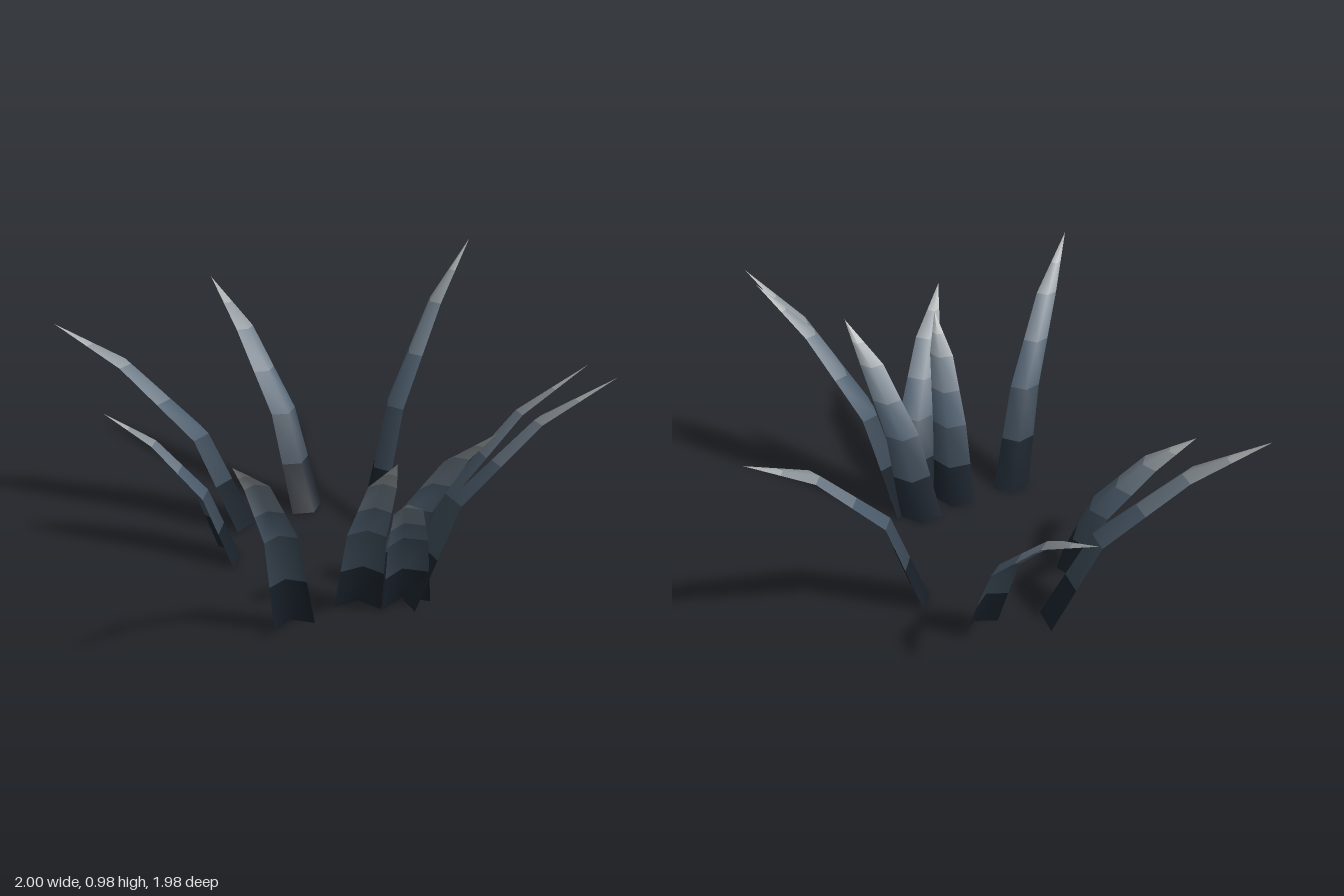
import * as THREE from 'three';

// Each blade: the two outer corners of its foot [x, z] and its tip [x, y, z]
const BLADES = [
  { name: 'backBlade', a: [-0.07, -0.32], b: [0.06, -0.25], tip: [0, 0.98, -0.99] },
  { name: 'backRightBlade', a: [-0.27, -0.33], b: [-0.31, -0.19], tip: [-0.88, 0.81, -0.44] },
  { name: 'rightLongBlade', a: [-0.49, -0.11], b: [-0.40, 0.05], tip: [-1, 0.82, 0.33] },
  { name: 'rightShortBlade', a: [-0.40, 0.17], b: [-0.25, 0.27], tip: [-0.65, 0.60, 0.47] },
  { name: 'frontBlade', a: [0.11, 0.51], b: [0.20, 0.40], tip: [0.335, 0.88, 0.99] },
  { name: 'frontLeftShortBlade', a: [0.20, 0.28], b: [0.345, 0.20], tip: [0.52, 0.70, 0.41] },
  { name: 'frontLeftLongBlade', a: [0.35, 0.20], b: [0.46, 0.06], tip: [0.67, 0.69, 0.60] },
  { name: 'leftInnerBlade', a: [0.245, 0.13], b: [0.36, 0.02], tip: [0.70, 0.73, 0.10] },
  { name: 'leftOuterBlade', a: [0.45, 0.15], b: [0.38, 0.02], tip: [1, 0.92, -0.11] },
  { name: 'leftBackBlade', a: [0.42, 0.13], b: [0.36, 0], tip: [0.88, 0.92, -0.16] },
];

// Shared bend: [share of the outward reach, share of the height, share of the width]
const BEND = [[0, 0, 1], [0.235, 0.465, 0.8], [0.635, 0.81, 0.55], [1, 1, 0]];
const STEPS = 2; // colour bands per straight section
const FOLD = 0.3; // depth of the V fold relative to the width

// Dark foot, slate middle, pale tip
function bandMaterials() {
  const [foot, middle, pale] = [0x1a222b, 0x566879, 0xa6abac].map((c) => new THREE.Color(c));
  const count = (BEND.length - 1) * STEPS;
  return Array.from({ length: count }, (_, i) => {
    const t = i / (count - 1);
    const color = t < 0.5 ? foot.clone().lerp(middle, t * 2) : middle.clone().lerp(pale, t * 2 - 1);
    return new THREE.MeshStandardMaterial({ color, side: THREE.DoubleSide });
  });
}

// A V-folded leaf: three points per ring, swept along the bend to a point
function bladeGeometry({ a, b, tip }) {
  const mid = new THREE.Vector3((a[0] + b[0]) / 2, 0, (a[1] + b[1]) / 2);
  const half = new THREE.Vector3(b[0] - a[0], 0, b[1] - a[1]).multiplyScalar(0.5);
  // the spine of the fold points away from the lean
  const fold = new THREE.Vector3(-half.z, 0, half.x).multiplyScalar(2 * FOLD);
  const lean = new THREE.Vector3(tip[0] - mid.x, 0, tip[2] - mid.z);
  if (fold.dot(lean) > 0) fold.negate();

  const positions = [];
  const indices = [];
  const rings = (BEND.length - 1) * STEPS;
  for (let i = 0; i <= rings; i++) {
    const k = Math.min(Math.floor(i / STEPS), BEND.length - 2);
    const t = i / STEPS - k;
    const [reach, rise, width] = BEND[k].map((v, j) => THREE.MathUtils.lerp(v, BEND[k + 1][j], t));
    const centre = mid.clone().addScaledVector(lean, reach).setY(tip[1] * rise);
    const ring = [
      centre.clone().addScaledVector(half, -width),
      centre.clone().addScaledVector(fold, width),
      centre.clone().addScaledVector(half, width),
    ];
    ring.forEach((p) => positions.push(p.x, p.y, p.z));
    if (i === rings) break;
    for (let s = 0; s < 2; s++) {
      const p = i * 3 + s;
      indices.push(p, p + 1, p + 4, p, p + 4, p + 3);
    }
  }
  const geometry = new THREE.BufferGeometry();
  geometry.setAttribute('position', new THREE.Float32BufferAttribute(positions, 3));
  geometry.setIndex(indices);
  for (let i = 0; i < rings; i++) geometry.addGroup(i * 12, 12, i);
  geometry.computeVertexNormals();
  return geometry;
}

export function createModel() {
  const group = new THREE.Group();
  group.name = 'grassTuft';
  const materials = bandMaterials();
  for (const blade of BLADES) {
    const mesh = new THREE.Mesh(bladeGeometry(blade), materials);
    mesh.name = blade.name;
    group.add(mesh);
  }
  return group;
}
